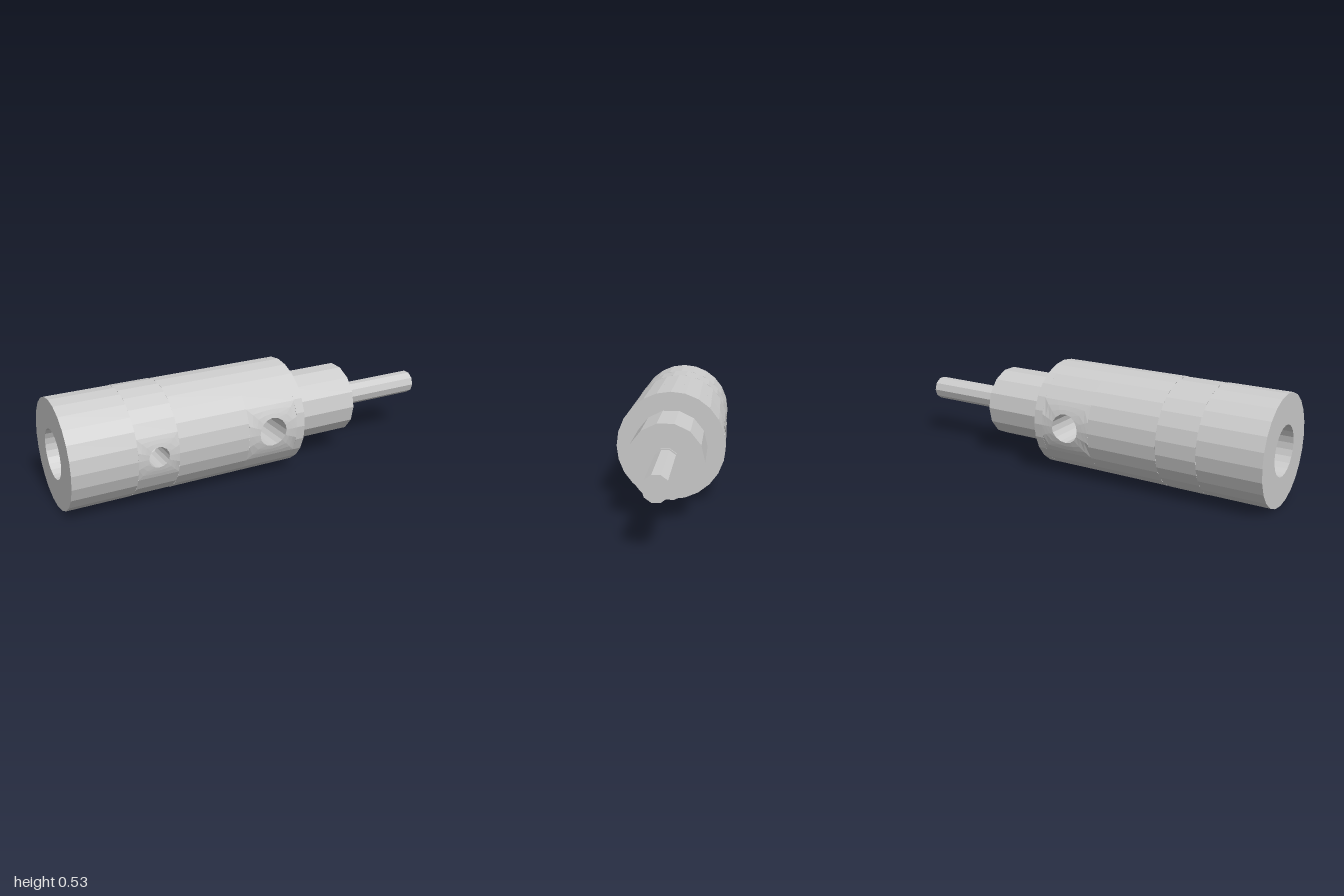
import * as THREE from 'three';
import { ParametricGeometry } from 'three/addons/geometries/ParametricGeometry.js';

const R = 0.265;          // body radius, also the height of the axis
const BORE = 0.12;        // bore radius
const SIDES = 24;
const TAU = Math.PI * 2;

const material = new THREE.MeshStandardMaterial({ color: 0xcccccc, flatShading: true, side: THREE.DoubleSide });

export function createModel() {
  const model = new THREE.Group();

  function add(parent, name, geometry) {
    const mesh = new THREE.Mesh(geometry, material);
    mesh.name = name;
    parent.add(mesh);
  }

  function addGroup(name) {
    const group = new THREE.Group();
    group.name = name;
    group.position.y = R;
    model.add(group);
    return group;
  }

  // Part of a round wall along x; angle 0 is the +z side. Swap x0 and x1 to face inward.
  function wall(r, x0, x1, t0 = 0, t1 = TAU) {
    const steps = Math.max(1, Math.round((t1 - t0) / TAU * SIDES));
    return new ParametricGeometry((u, v, p) => {
      const t = t0 + (t1 - t0) * v;
      p.set(x0 + (x1 - x0) * u, r * Math.sin(t), r * Math.cos(t));
    }, 1, steps);
  }

  // Square patch of the wall around a round hole; side is 1 for +z, -1 for -z
  function holePatch(r, x, hole, half, side, inward) {
    return new ParametricGeometry((u, v, p) => {
      const c = Math.cos(v * TAU), s = Math.sin(v * TAU);
      const edge = half / Math.max(Math.abs(c), Math.abs(s));
      const d = hole + (edge - hole) * (inward ? 1 - u : u);
      const y = s * d;
      p.set(x + c * d, side * y, side * Math.sqrt(r * r - y * y));
    }, 3, 16);
  }

  // Inside wall of a cross hole; each end follows a round surface
  function holeTube(x, hole, backZ, frontZ) {
    return new ParametricGeometry((u, v, p) => {
      const y = hole * Math.sin(v * TAU);
      const z0 = backZ(y), z1 = frontZ(y);
      p.set(x + hole * Math.cos(v * TAU), y, z0 + (z1 - z0) * u);
    }, 1, 16);
  }

  // Flat ring or disc across the axis, facing +x or -x
  function face(x, inner, outer, dir) {
    const g = inner ? new THREE.RingGeometry(inner, outer, SIDES) : new THREE.CircleGeometry(outer, SIDES);
    return g.rotateY(dir * Math.PI / 2).translate(x, 0, 0);
  }

  function rod(r, x0, x1, sides) {
    return new THREE.CylinderGeometry(r, r, x1 - x0, sides)
      .rotateZ(-Math.PI / 2).translate((x0 + x1) / 2, 0, 0);
  }

  const onBody = y => Math.sqrt(R * R - y * y);
  const onBore = y => Math.sqrt(BORE * BORE - y * y);
  const screw = { x: -0.59, r: 0.05, half: 0.1 };
  const cross = { x: 0, r: 0.072, half: 0.13 };
  const end = 0.175, floor = -0.3;

  // Outer body: plain lengths between the bands that carry holes
  const body = addGroup('body');
  const plain = [
    [-1, screw.x - screw.half],
    [screw.x + screw.half, cross.x - cross.half],
    [cross.x + cross.half, end],
  ];
  for (const [a, b] of plain) add(body, 'bodyWall', wall(R, a, b));

  const ta = Math.asin(screw.half / R);
  add(body, 'screwHoleBand', wall(R, screw.x - screw.half, screw.x + screw.half, ta, TAU - ta));
  add(body, 'screwHoleRim', holePatch(R, screw.x, screw.r, screw.half, 1));

  const tb = Math.asin(cross.half / R);
  for (const side of [1, -1]) {
    const start = side > 0 ? 0 : Math.PI;
    add(body, 'crossHoleBand', wall(R, -cross.half, cross.half, start + tb, start + Math.PI - tb));
    add(body, 'crossHoleRim', holePatch(R, cross.x, cross.r, cross.half, side));
  }
  add(body, 'crossHole', holeTube(cross.x, cross.r, y => -onBody(y), onBody));
  add(body, 'screwHole', holeTube(screw.x, screw.r, onBore, onBody));
  add(body, 'openEndFace', face(-1, BORE, R, -1));
  add(body, 'shoulderFace', face(end, 0, R, 1));

  // Blind bore, pierced by the screw hole
  const bore = addGroup('bore');
  const h = 0.08, tc = Math.asin(h / BORE);
  add(bore, 'boreWall', wall(BORE, screw.x - h, -1));
  add(bore, 'boreWall', wall(BORE, floor, screw.x + h));
  add(bore, 'boreBand', wall(BORE, screw.x + h, screw.x - h, tc, TAU - tc));
  add(bore, 'boreHoleRim', holePatch(BORE, screw.x, screw.r, h, 1, true));
  add(bore, 'boreFloor', face(floor, 0, BORE, -1));

  // Stepped neck and thin shaft
  const shaft = addGroup('shaft');
  add(shaft, 'neck', rod(0.177, end, 0.525, 14));
  add(shaft, 'shaftCollar', rod(0.065, 0.52, 0.535, 10));
  add(shaft, 'pin', rod(0.059, 0.52, 1, 10));

  return model;
}
